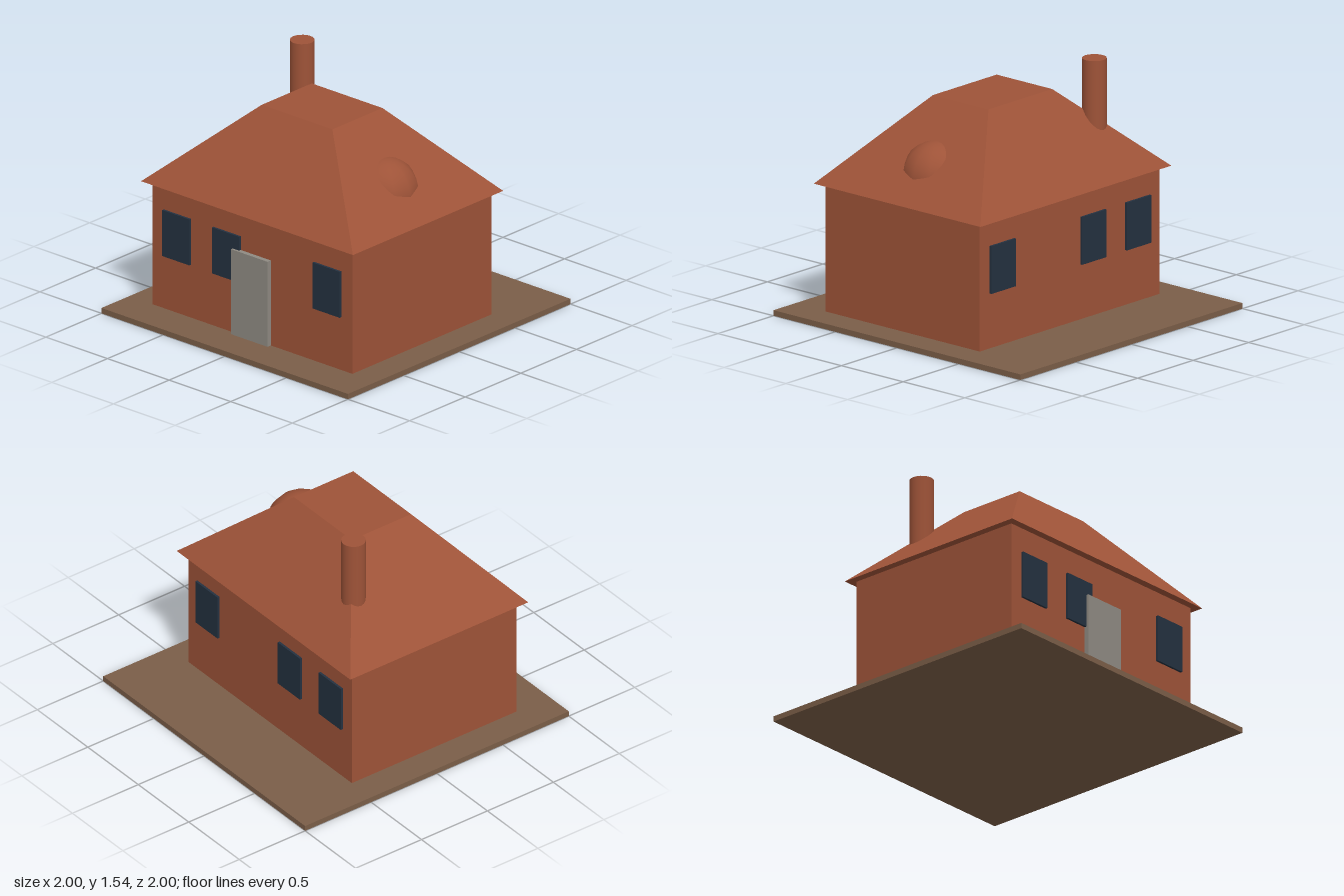
import * as THREE from 'three';

export function createModel() {
  const house = new THREE.Group();
  house.name = 'house';

  const material = (name, color) => {
    const m = new THREE.MeshStandardMaterial({ color });
    m.name = name;
    return m;
  };
  const brick = material('brick', 0x9e5338);
  const earth = material('earth', 0x7b5e48);
  const glass = material('glass', 0x243140);
  const stone = material('stone', 0x8f8a82);

  const add = (name, geometry, mat, x, y, z) => {
    const mesh = new THREE.Mesh(geometry, mat);
    mesh.name = name;
    mesh.position.set(x, y, z);
    house.add(mesh);
    return mesh;
  };
  // Box placed by its centre in x and z and by its base in y
  const box = (name, mat, w, h, d, x, base, z) =>
    add(name, new THREE.BoxGeometry(w, h, d), mat, x, base + h / 2, z);

  const groundTop = 0.035, eaves = 0.84, ridge = 1.36;
  const midZ = 0.125, depth = 1.25;

  box('ground', earth, 2, groundTop, 2, 0, 0, 0);
  box('walls', brick, 1.62, eaves - groundTop, depth, 0, groundTop, midZ);

  // Hipped roof: a four-sided frustum stretched to the overhanging eaves
  let roof = new THREE.CylinderGeometry(Math.SQRT2 / 3, Math.SQRT2, ridge - eaves, 4);
  roof.rotateY(Math.PI / 4);
  roof.scale(0.86, 1, 0.675);
  roof = roof.toNonIndexed();
  roof.computeVertexNormals();
  add('roof', roof, brick, 0, (eaves + ridge) / 2, midZ);

  // Chimney on the back corner and a round dormer on the left slope
  add('chimney', new THREE.CylinderGeometry(0.075, 0.075, 0.54, 20), brick, -0.5, 1.27, -0.25);
  add('dormer', new THREE.SphereGeometry(0.22, 12, 16), brick, 0.5, 0.945, midZ);

  // Windows set into the front and back walls
  for (const z of [midZ + depth / 2, midZ - depth / 2]) {
    for (const x of [-0.61, -0.205, 0.61]) {
      box('window', glass, 0.22, 0.3, 0.03, x, 0.38, z);
    }
  }

  box('door', stone, 0.296, 0.555, 0.06, 0, groundTop, midZ + depth / 2);

  return house;
}
